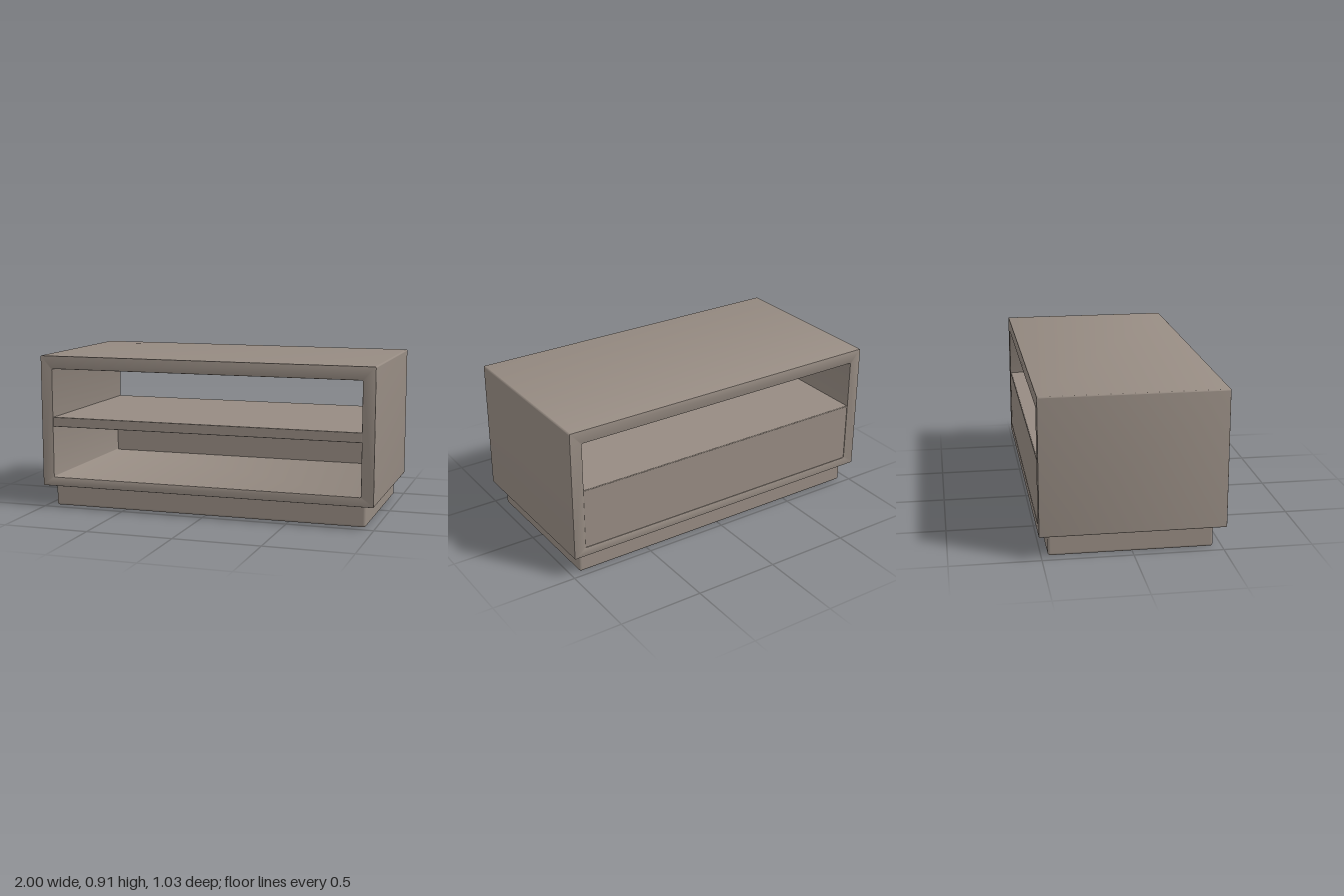
import * as THREE from 'three';
import { toCreasedNormals } from 'three/addons/utils/BufferGeometryUtils.js';
import { RoundedBoxGeometry } from 'three/addons/geometries/RoundedBoxGeometry.js';

const DEPTH = 1.03;
const BEVEL = 0.005;

// Rounded rectangle outline, given by its edges
function roundedRect(path, x0, y0, x1, y1, r) {
  path.moveTo(x0 + r, y0);
  path.lineTo(x1 - r, y0);
  path.absarc(x1 - r, y0 + r, r, -Math.PI / 2, 0);
  path.lineTo(x1, y1 - r);
  path.absarc(x1 - r, y1 - r, r, 0, Math.PI / 2);
  path.lineTo(x0 + r, y1);
  path.absarc(x0 + r, y1 - r, r, Math.PI / 2, Math.PI);
  path.lineTo(x0, y0 + r);
  path.absarc(x0 + r, y0 + r, r, Math.PI, Math.PI * 1.5);
  return path;
}

export function createModel() {
  const group = new THREE.Group();
  const taupe = new THREE.MeshStandardMaterial({ color: 0x968b82 });
  taupe.name = 'taupe';

  const add = (name, geometry, x, y, z) => {
    const mesh = new THREE.Mesh(geometry, taupe);
    mesh.name = name;
    mesh.position.set(x, y, z);
    group.add(mesh);
  };
  // Softly rounded board between two heights and two depths
  const board = (name, halfWidth, y0, y1, z0, z1, radius) =>
    add(name, new RoundedBoxGeometry(halfWidth * 2, y1 - y0, z1 - z0, 3, radius),
      0, (y0 + y1) / 2, (z0 + z1) / 2);

  // Outer case, open from front to back
  const outline = roundedRect(new THREE.Shape(), -1, 0.13, 1, 0.91, 0.008);
  outline.holes.push(roundedRect(new THREE.Path(), -0.927, 0.185, 0.927, 0.832, 0.006));
  const frame = new THREE.ExtrudeGeometry(outline, {
    depth: DEPTH - 2 * BEVEL, bevelThickness: BEVEL, bevelSize: BEVEL,
    bevelOffset: -BEVEL, bevelSegments: 2, curveSegments: 4,
  });
  frame.translate(0, 0, -DEPTH / 2 + BEVEL);
  add('caseFrame', toCreasedNormals(frame, 0.7), 0, 0, 0);

  // Middle shelf and the panel closing the lower bay at the back
  board('shelf', 0.929, 0.488, 0.545, -0.51, 0.51, 0.004);
  board('backPanel', 0.929, 0.183, 0.543, -0.512, -0.455, 0.004);

  // Recessed plinth
  board('plinth', 0.945, 0, 0.14, -0.463, 0.451, 0.015);

  return group;
}
